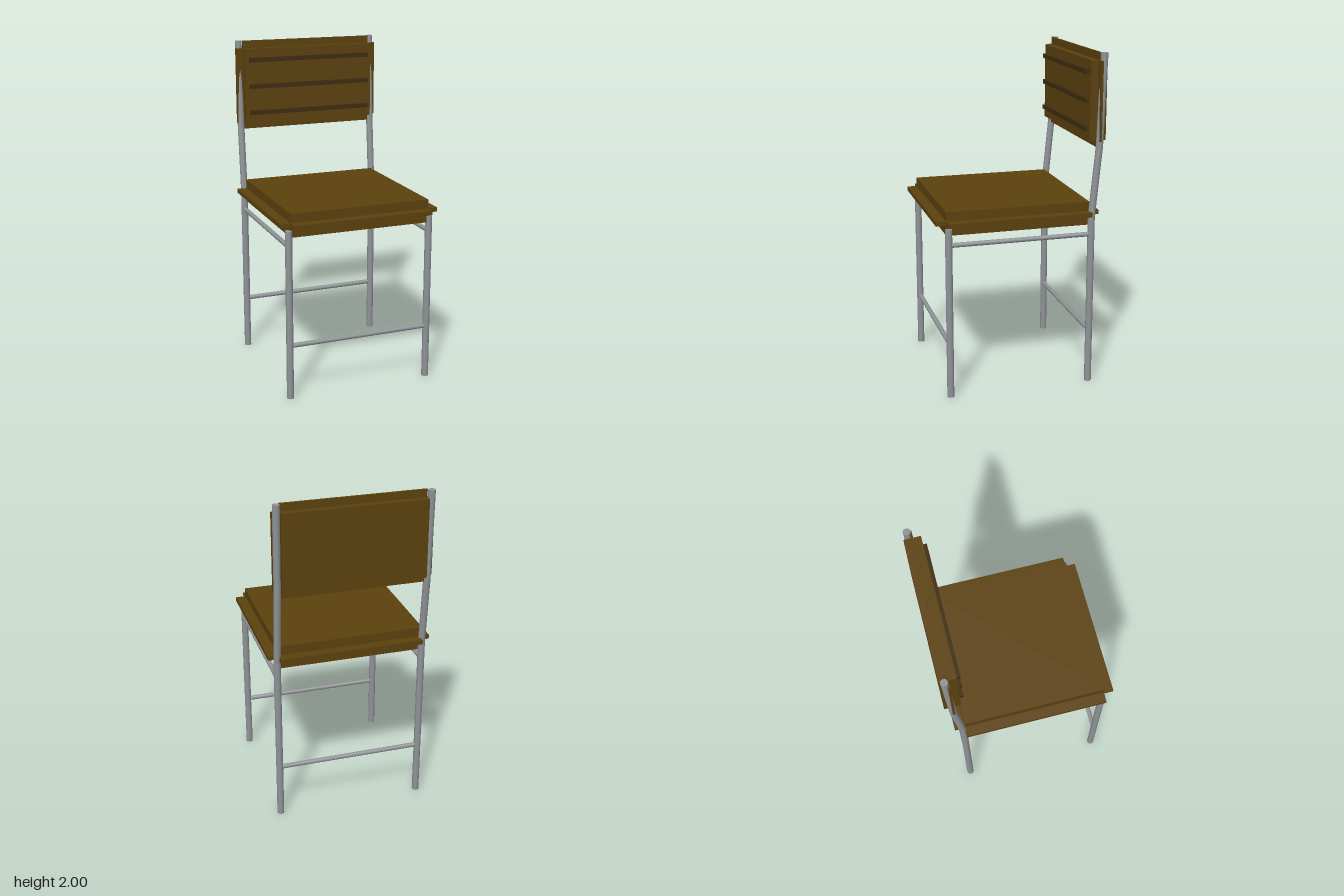
import * as THREE from 'three';

const wood = new THREE.MeshStandardMaterial({ color: 0x5c410d });
wood.name = 'brown wood';
const darkWood = new THREE.MeshStandardMaterial({ color: 0x3f2c0e });
darkWood.name = 'dark wood';
const metal = new THREE.MeshStandardMaterial({ color: 0x8f9396 });
metal.name = 'grey metal';

// Box given by its min and max on each axis
function box(name, material, [x0, x1], [y0, y1], [z0, z1]) {
  const mesh = new THREE.Mesh(new THREE.BoxGeometry(x1 - x0, y1 - y0, z1 - z0), material);
  mesh.position.set((x0 + x1) / 2, (y0 + y1) / 2, (z0 + z1) / 2);
  mesh.name = name;
  return mesh;
}

// Round bar between two points
function bar(name, a, b, radius) {
  const from = new THREE.Vector3(...a);
  const to = new THREE.Vector3(...b);
  const dir = to.clone().sub(from);
  const mesh = new THREE.Mesh(new THREE.CylinderGeometry(radius, radius, dir.length(), 16), metal);
  mesh.position.copy(from).add(to).multiplyScalar(0.5);
  mesh.quaternion.setFromUnitVectors(new THREE.Vector3(0, 1, 0), dir.normalize());
  mesh.name = name;
  return mesh;
}

export function createModel() {
  const chair = new THREE.Group();
  chair.name = 'chair';
  const legX = 0.44, frontZ = 0.44, rearZ = -0.42, legR = 0.021, railR = 0.014;

  // Seat: thick cushion with a thin flange on each side, open at the corners
  const seat = new THREE.Group();
  seat.name = 'seat';
  seat.add(
    box('seatCore', wood, [-0.43, 0.43], [0.99, 1.13], [-0.41, 0.45]),
    box('seatFrontFlange', wood, [-0.43, 0.43], [1.05, 1.075], [0.45, 0.51]),
    box('seatRearFlange', wood, [-0.43, 0.43], [1.05, 1.075], [-0.47, -0.41]),
  );

  // Backrest: upright panel with flanges above, below and at the sides
  const backrest = new THREE.Group();
  backrest.name = 'backrest';
  const flangeZ = [-0.465, -0.451];
  backrest.add(
    box('backrestCore', wood, [-0.42, 0.42], [1.49, 1.955], [-0.505, -0.407]),
    box('backrestTopFlange', wood, [-0.42, 0.42], [1.955, 2], flangeZ),
    box('backrestBottomFlange', wood, [-0.42, 0.42], [1.45, 1.49], flangeZ),
  );
  for (const y of [1.558, 1.722, 1.886]) {
    backrest.add(box('backrestSlat', darkWood, [-0.395, 0.395], [y - 0.013, y + 0.013], [-0.407, -0.385]));
  }

  // Tubular frame, mirrored left and right
  const frame = new THREE.Group();
  frame.name = 'frame';
  for (const s of [-1, 1]) {
    const x = s * legX;
    const side = (a, b) => (s > 0 ? [a, b] : [-b, -a]);
    seat.add(box('seatSideFlange', wood, side(0.43, 0.49), [1.05, 1.075], [-0.41, 0.45]));
    backrest.add(box('backrestSideFlange', wood, side(0.42, 0.465), [1.49, 1.955], flangeZ));

    frame.add(bar('frontLeg', [x, 0, frontZ], [x, 1.03, frontZ], legR));
    frame.add(bar('sideRail', [x, 0.935, frontZ], [x, 0.935, rearZ], railR));

    // Rear leg bends backwards above the seat
    const path = [[x, 0, rearZ], [x, 1.04, rearZ], [x, 1.46, -0.46], [x, 2, -0.478]];
    for (let i = 0; i < 3; i++) {
      frame.add(bar('rearLeg', path[i], path[i + 1], legR));
      if (i > 0) {
        const joint = new THREE.Mesh(new THREE.SphereGeometry(legR, 16, 8), metal);
        joint.position.set(...path[i]);
        joint.name = 'rearLegBend';
        frame.add(joint);
      }
    }
  }

  // Low stretchers between the front legs and between the rear legs
  for (const z of [frontZ, rearZ]) {
    frame.add(bar('stretcher', [-legX, 0.33, z], [legX, 0.33, z], railR));
  }

  chair.add(seat, backrest, frame);
  return chair;
}
